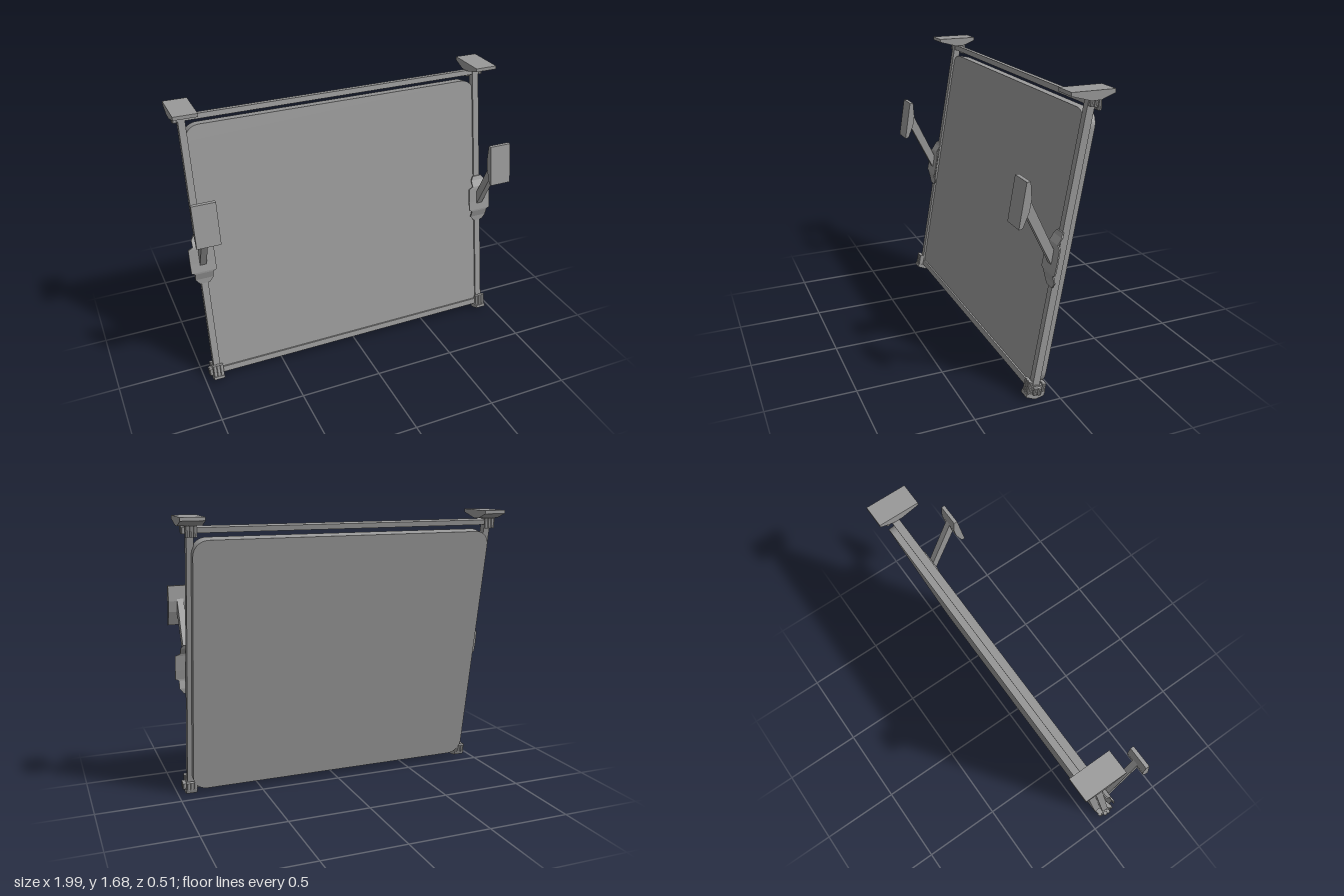
import * as THREE from 'three';

const TILT = -Math.PI / 18;
const SIDE_X = 0.922;

export function createModel() {
  const model = new THREE.Group();
  model.name = 'tiltedPanelRack';
  const mat = new THREE.MeshStandardMaterial({ color: 0x999999, flatShading: true });

  const add = (parent, name, geo, x = 0, y = 0, z = 0) => {
    const mesh = new THREE.Mesh(geo, mat);
    mesh.name = name;
    mesh.position.set(x, y, z);
    parent.add(mesh);
    return mesh;
  };
  const box = (parent, name, w, h, d, x, y, z) =>
    add(parent, name, new THREE.BoxGeometry(w, h, d), x, y, z);
  const lobe = (parent, name, h, x, y, z) =>
    add(parent, name, new THREE.CylinderGeometry(0.0125, 0.0125, h, 10), x, y, z);

  // Side profile given as [z, y] points, extruded across x
  const slab = (parent, name, points, width, x) => {
    const shape = new THREE.Shape(points.map(([z, y]) => new THREE.Vector2(z, y)));
    const geo = new THREE.ExtrudeGeometry(shape, { depth: width, bevelEnabled: false });
    geo.translate(0, 0, -width / 2).rotateY(-Math.PI / 2);
    return add(parent, name, geo, x);
  };

  // Leaning frame: local y runs up the rails, local z = 0 is their front face
  const frame = new THREE.Group();
  frame.name = 'leaningFrame';
  frame.position.z = 0.154;
  frame.rotation.x = TILT;
  model.add(frame);

  // Panel with rounded corners, set between the rails
  const hw = 0.916, v0 = 0.05, v1 = 1.591, r = 0.088;
  const outline = new THREE.Shape();
  outline.moveTo(-hw + r, v0);
  outline.absarc(hw - r, v0 + r, r, -Math.PI / 2, 0);
  outline.absarc(hw - r, v1 - r, r, 0, Math.PI / 2);
  outline.absarc(-hw + r, v1 - r, r, Math.PI / 2, Math.PI);
  outline.absarc(-hw + r, v0 + r, r, Math.PI, Math.PI * 1.5);
  const panelGeo = new THREE.ExtrudeGeometry(outline, { depth: 0.071, bevelEnabled: false, curveSegments: 6 });
  add(frame, 'panel', panelGeo, 0, 0, -0.083);

  // Cross bars
  box(frame, 'bottomBar', 1.91, 0.036, 0.04, 0, 0.057, -0.021);
  box(frame, 'topBar', 1.91, 0.03, 0.044, 0, 1.638, -0.026);

  // Bent bracket plate: rows of [y, z, half width], each a thin rectangle
  const rows = [
    [0.948, -0.006, 0.03], [0.925, 0.005, 0.046], [0.89, 0.028, 0.046], [0.878, 0.032, 0.074],
    [0.79, 0.046, 0.075], [0.735, 0.057, 0.074], [0.725, 0.057, 0.054], [0.68, 0.046, 0.054], [0.648, 0.047, 0.03],
  ];
  const pos = [], idx = [];
  rows.forEach(([y, z, w], i) => {
    const back = z - 0.008;
    pos.push(-w, y, z, w, y, z, w, y, back, -w, y, back);
    for (let k = 0; i && k < 4; k++) {
      const a = 4 * (i - 1) + k, b = 4 * (i - 1) + (k + 1) % 4;
      idx.push(a, a + 4, b, b, a + 4, b + 4);
    }
  });
  const e = 4 * (rows.length - 1);
  idx.push(0, 1, 2, 0, 2, 3, e, e + 2, e + 1, e, e + 3, e + 2);
  const bracketGeo = new THREE.BufferGeometry();
  bracketGeo.setAttribute('position', new THREE.Float32BufferAttribute(pos, 3));
  bracketGeo.setIndex(idx);
  bracketGeo.computeVertexNormals();

  for (const s of [-1, 1]) {
    const x = s * SIDE_X;
    const side = s > 0 ? 'left' : 'right';

    // Upright rail
    box(frame, side + 'Rail', 0.04, 1.61, 0.041, x, 0.849, -0.0205);

    // Lobed clamps at the lower and upper corners
    box(frame, side + 'LowerClamp', 0.052, 0.046, 0.075, x, 0.06, -0.028);
    box(frame, side + 'LowerClampFront', 0.052, 0.066, 0.018, x, 0.068, 0.01);
    box(model, side + 'UpperClamp', 0.052, 0.034, 0.05, x, 1.613, -0.165);
    for (let i = -1; i <= 1; i++) {
      lobe(frame, side + 'LowerFrontLobe', 0.074, x + i * 0.021, 0.07, 0.018);
      lobe(frame, side + 'LowerBackLobe', 0.05, x + i * 0.021, 0.068, -0.066);
      lobe(model, side + 'UpperBackLobe', 0.062, x + i * 0.021, 1.6, -0.193);
    }
    for (const w of [-0.01, -0.034]) {
      lobe(frame, side + 'LowerEndLobe', 0.04, s * 0.96, 0.057, w);
      lobe(frame, side + 'UpperEndLobe', 0.036, s * 0.96, 1.638, w);
    }

    // Pointed foot
    slab(model, side + 'Foot', [[0.184, 0.024], [0.13, 0], [0.08, 0.01], [0.07, 0.036],
      [0.18, 0.04]], 0.066, x);

    // Top pad, thick in the middle and thin at its ends
    slab(model, side + 'TopPad', [[-0.01, 1.68], [-0.01, 1.66], [-0.12, 1.63],
      [-0.175, 1.63], [-0.255, 1.66], [-0.255, 1.68]], 0.137, x);

    // Bracket, slanting arm and front pad
    add(model, side + 'Bracket', bracketGeo, x);
    slab(model, side + 'Arm', [[0.192, 1.185], [0.027, 0.84], [0.048, 0.775], [0.21, 1.1]], 0.038, x);
    slab(model, side + 'FrontPad', [[0.218, 1.26], [0.196, 1.26], [0.19, 1.17],
      [0.201, 1.105], [0.237, 1.021], [0.258, 1.017]], 0.137, x);
  }
  return model;
}
